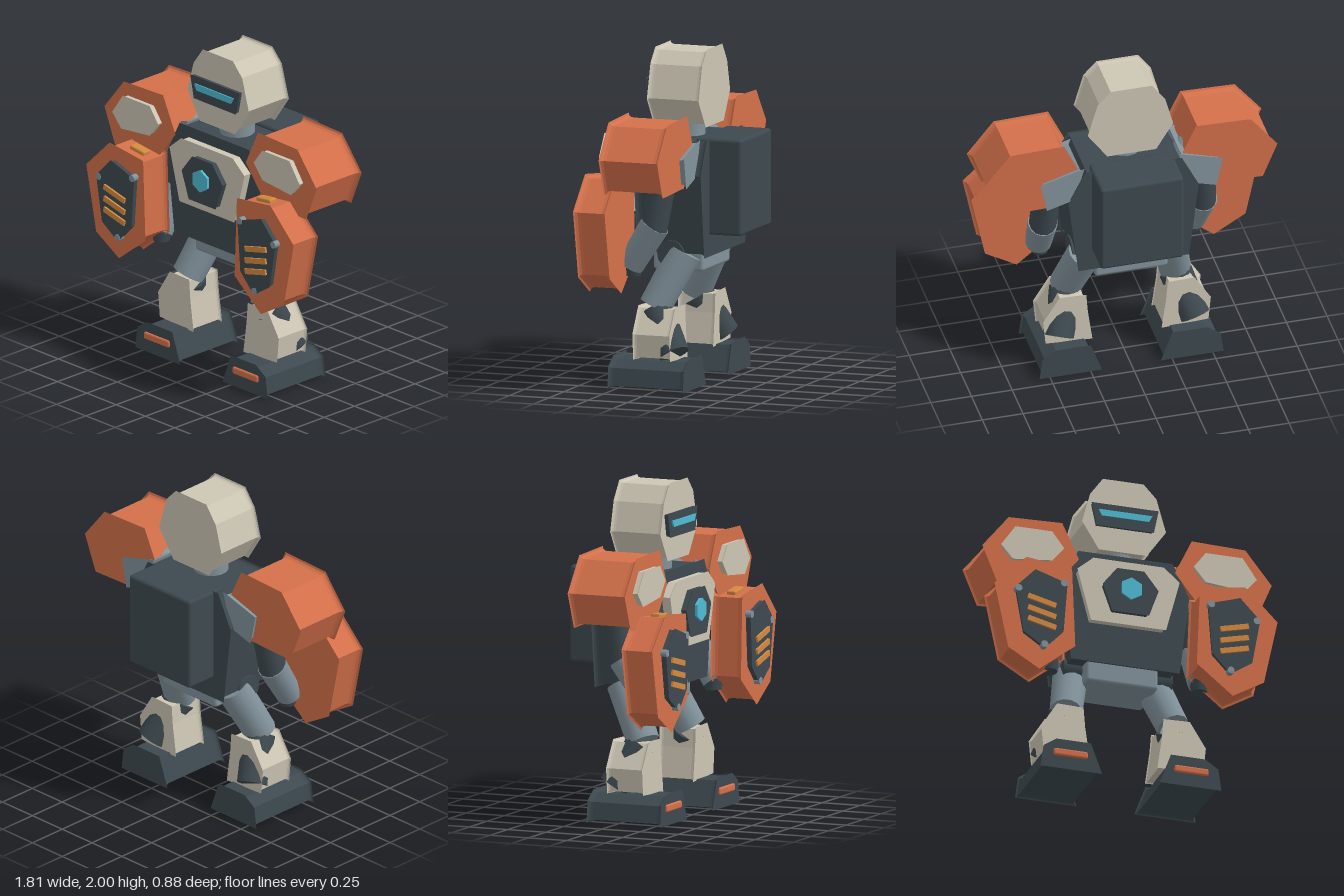
import * as THREE from 'three';
import { RoundedBoxGeometry } from 'three/addons/geometries/RoundedBoxGeometry.js';

const paint = (name, color) => {
  const m = new THREE.MeshStandardMaterial({ color });
  m.name = name;
  return m;
};

export function createModel() {
  const orange = paint('orange armour', 0xd4704a);
  const cream = paint('cream armour', 0xcdc6b4);
  const dark = paint('dark frame', 0x3d494f);
  const steel = paint('steel joints', 0x82939c);
  const cyan = paint('cyan glow', 0x4fbcd4);
  const amber = paint('amber vents', 0xd4893f);

  const robot = new THREE.Group();
  robot.name = 'robot';

  const add = (name, geometry, material, x = 0, y = 0, z = 0) => {
    const mesh = new THREE.Mesh(geometry, material);
    mesh.name = name;
    mesh.position.set(x, y, z);
    robot.add(mesh);
    return mesh;
  };

  // Armour slab: outline in x/y between two z planes, walls drawn in so the rims flare
  const slab = (name, points, z0, z1, material, flare = 0.022, side = 1) => {
    const shape = new THREE.Shape(points.map(([x, y]) => new THREE.Vector2(x * side, y)));
    const rim = Math.min(flare * 1.5, (z1 - z0) / 3);
    const geometry = new THREE.ExtrudeGeometry(shape, {
      depth: z1 - z0 - 2 * rim, bevelEnabled: flare > 0,
      bevelThickness: rim, bevelSize: -flare, bevelSegments: 3,
    });
    return add(name, geometry, material, 0, 0, z0 + rim);
  };

  // Full symmetric outline from its right half, listed top to bottom
  const both = (half) => [...half, ...half.map(([x, y]) => [-x, y]).reverse()];

  // Tapered round limb between two points
  const limb = (name, from, to, r0, r1, material, side = 1) => {
    const a = new THREE.Vector3(from[0] * side, from[1], from[2]);
    const b = new THREE.Vector3(to[0] * side, to[1], to[2]);
    const dir = b.clone().sub(a);
    const mesh = add(name, new THREE.CylinderGeometry(r1, r0, dir.length(), 14), material);
    mesh.position.copy(a).add(b).multiplyScalar(0.5);
    mesh.quaternion.setFromUnitVectors(new THREE.Vector3(0, 1, 0), dir.normalize());
    return mesh;
  };

  // Head
  slab('head', [[-0.13, 2], [0.125, 2], [0.205, 1.915], [0.265, 1.705], [0.145, 1.535],
    [-0.155, 1.535], [-0.26, 1.705], [-0.21, 1.89]], -0.17, 0.158, cream, 0.018);
  slab('visor', both([[0.21, 1.825], [0.18, 1.68]]), 0.145, 0.185, dark, 0.006);
  slab('visorLight', both([[0.168, 1.782], [0.147, 1.742]]), 0.18, 0.196, cyan, 0.003);
  limb('neck', [0, 1.42, 0], [0, 1.6, 0], 0.105, 0.105, steel);

  // Torso
  slab('torso', both([[0.295, 1.49], [0.4, 1.28], [0.34, 0.78]]), -0.235, 0.19, dark);
  slab('chestPlate', both([[0.22, 1.43], [0.32, 1.345], [0.235, 1.022]]), 0.18, 0.25, cream, 0.01);
  slab('chestCore', both([[0.085, 1.365], [0.175, 1.25], [0.115, 1.082]]), 0.24, 0.29, dark, 0.008);
  const hexagon = [0, 1, 2, 3, 4, 5].map((i) => {
    const t = Math.PI / 2 + (i * Math.PI) / 3;
    return [0.072 * Math.cos(t), 1.235 + 0.072 * Math.sin(t)];
  });
  slab('chestLight', hexagon, 0.28, 0.31, cyan, 0.004);
  add('backpack', new RoundedBoxGeometry(0.51, 0.58, 0.29, 2, 0.02), dark, 0, 1.2, -0.293);

  // Pelvis
  add('pelvis', new RoundedBoxGeometry(0.45, 0.18, 0.32, 2, 0.02), steel, 0, 0.77, -0.025);
  limb('hipAxle', [-0.34, 0.795, -0.02], [0.34, 0.795, -0.02], 0.085, 0.085, dark);

  for (const s of [1, -1]) {
    const n = (part) => (s > 0 ? 'left' : 'right') + part;

    // Shoulder
    add(n('ShoulderBall'), new THREE.SphereGeometry(0.13, 16, 12), steel, s * 0.42, 1.365, -0.02);
    slab(n('ShoulderBracket'), [[0.29, 1.485], [0.56, 1.41], [0.52, 1.22], [0.35, 1.27]],
      -0.19, 0.13, steel, 0.02, s);
    slab(n('Pauldron'), [[0.405, 1.642], [0.74, 1.632], [0.905, 1.425], [0.815, 1.205],
      [0.46, 1.215], [0.3, 1.42]], -0.152, 0.22, orange, 0.025, s);
    slab(n('PauldronPlate'), [[0.48, 1.56], [0.71, 1.56], [0.8, 1.43], [0.725, 1.345],
      [0.48, 1.37], [0.405, 1.46]], 0.21, 0.258, cream, 0.008, s);

    // Arm
    limb(n('UpperArm'), [0.47, 1.32, -0.035], [0.49, 0.96, 0.03], 0.08, 0.085, dark, s);
    limb(n('Forearm'), [0.49, 0.99, 0.02], [0.475, 0.74, 0.18], 0.09, 0.08, steel, s);
    limb(n('Hand'), [0.475, 0.76, 0.165], [0.47, 0.68, 0.17], 0.065, 0.05, dark, s);

    // Forearm shield with bolted vent panel
    slab(n('ForearmShield'), [[0.4, 1.27], [0.685, 1.305], [0.885, 1.107], [0.8, 0.7],
      [0.605, 0.585], [0.38, 0.765]], 0.19, 0.39, orange, 0.025, s);
    slab(n('ShieldPanel'), [[0.64, 1.215], [0.765, 1.085], [0.715, 0.8], [0.58, 0.71],
      [0.465, 0.83], [0.44, 1.15]], 0.38, 0.425, dark, 0.008, s);
    for (const y of [1.012, 0.938, 0.868]) {
      const vent = add(n('ShieldVent'), new THREE.BoxGeometry(0.18, 0.033, 0.02), amber, s * 0.602, y, 0.428);
      vent.rotation.z = s * -0.24;
      vent.rotation.z = s > 0 ? 0.24 : -0.24;
    }
    for (const [x, y] of [[0.46, 1.15], [0.745, 1.08], [0.583, 0.735]]) {
      limb(n('ShieldBolt'), [x, y, 0.39], [x, y, 0.428], 0.022, 0.022, steel, s);
    }
    const tab = add(n('ShieldTab'), new RoundedBoxGeometry(0.12, 0.035, 0.06, 2, 0.01), amber,
      s * 0.54, 1.268, 0.28);
    tab.rotation.z = s * 0.12;

    // Leg
    limb(n('Thigh'), [0.255, 0.8, -0.08], [0.335, 0.475, 0.08], 0.105, 0.098, steel, s);
    limb(n('Knee'), [0.335, 0.455, 0.07], [0.42, 0.21, -0.075], 0.1, 0.092, dark, s);
    slab(n('Shin'), [[0.25, 0.485], [0.415, 0.49], [0.515, 0.33], [0.5, 0.175],
      [0.212, 0.16], [0.24, 0.36]], -0.08, 0.155, cream, 0.015, s);

    // Foot
    slab(n('Foot'), [[0.18, 0], [0.565, 0], [0.547, 0.135], [0.465, 0.19], [0.25, 0.19]],
      -0.185, 0.295, dark, 0.02, s);
    add(n('ToeStripe'), new RoundedBoxGeometry(0.215, 0.046, 0.03, 2, 0.012), orange, s * 0.378, 0.104, 0.292);
  }
  return robot;
}
